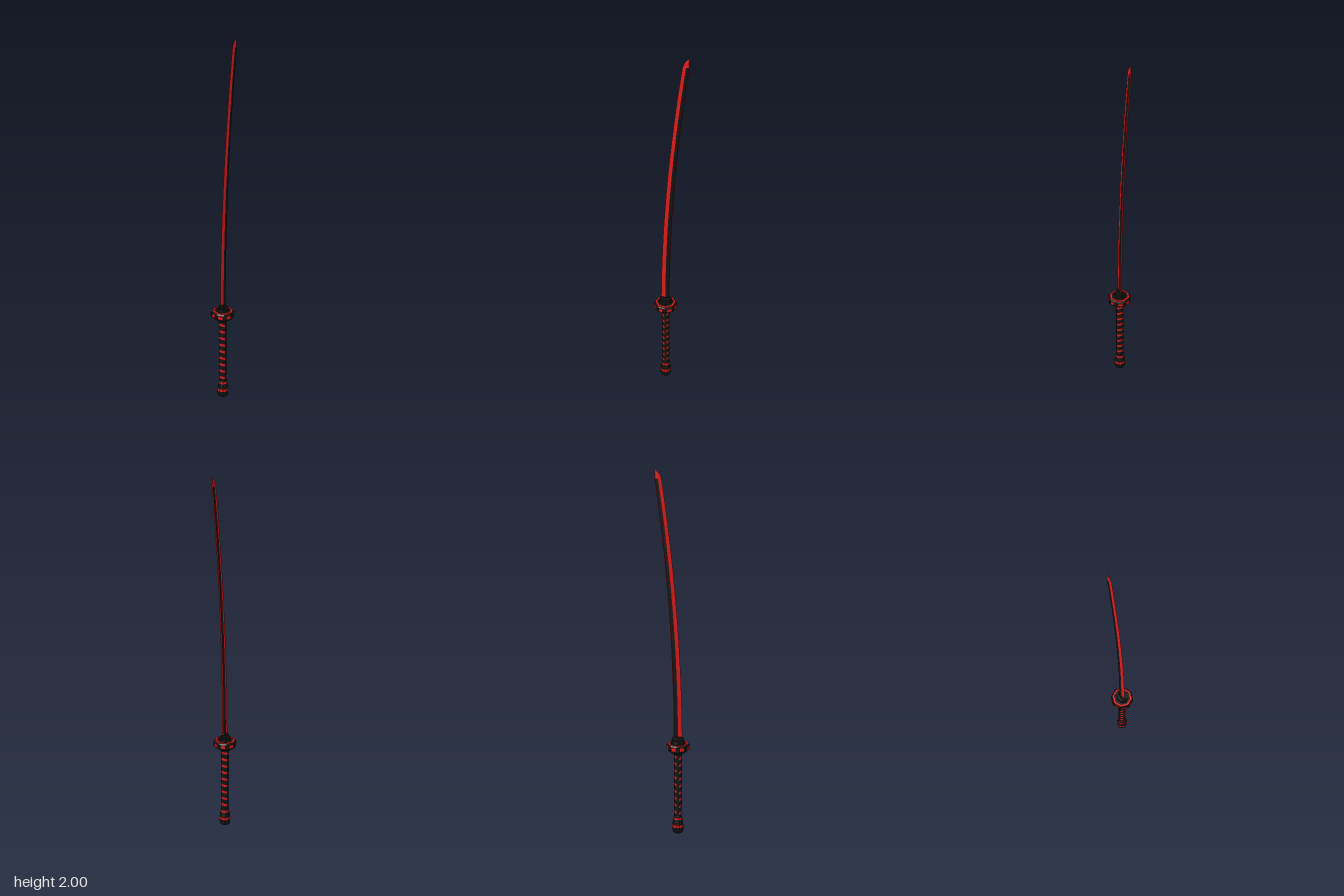
import * as THREE from 'three';

const AXIS_Z = 0.03; // hilt axis
const mat = (color) => new THREE.MeshStandardMaterial({ color, flatShading: true, side: THREE.DoubleSide });
const black = mat(0x141414);
const red = mat(0xdd1a1a);

export function createModel() {
  const root = new THREE.Group();
  const hilt = new THREE.Group();
  hilt.name = 'hilt';
  hilt.position.z = AXIS_Z;
  root.add(hilt);

  function add(parent, name, geometry, material, x = 0, y = 0, z = 0) {
    const mesh = new THREE.Mesh(geometry, material);
    mesh.name = name;
    mesh.position.set(x, y, z);
    parent.add(mesh);
    return mesh;
  }
  const lathe = (pts, sides) =>
    new THREE.LatheGeometry(pts.map(([r, y]) => new THREE.Vector2(r, y)), sides);

  // Skin a list of equal-length open cross-sections
  function loft(sections) {
    const n = sections[0].length;
    const index = [];
    for (let i = 0; i < sections.length - 1; i++) {
      for (let j = 0; j < n - 1; j++) {
        const a = i * n + j, b = a + n;
        index.push(a, a + 1, b, a + 1, b + 1, b);
      }
    }
    const geo = new THREE.BufferGeometry();
    geo.setAttribute('position', new THREE.Float32BufferAttribute(sections.flat(2), 3));
    geo.setIndex(index);
    geo.computeVertexNormals();
    return geo;
  }

  // Blade: curved centre line, red cutting bevel at +z, black flats, thin red spine
  const blade = new THREE.Group();
  blade.name = 'blade';
  root.add(blade);
  const edge = [], flatL = [], flatR = [], spine = [];
  const STEPS = 24, Y0 = 0.53, Y1 = 1.95;
  for (let i = 0; i <= STEPS; i++) {
    const t = i / STEPS;
    const y = Y0 + (Y1 - Y0) * t;
    const front = 0.054 - 0.012 * t - 0.098 * t * t;
    const width = 0.047 - 0.011 * t;
    const back = front - width;
    const ridge = front - width * 0.5;
    const h = 0.0055 - 0.0015 * t;
    edge.push([[-h, y, ridge], [0, y, front], [h, y, ridge]]);
    flatR.push([[h, y, ridge], [h * 0.9, y, back + 0.003]]);
    flatL.push([[-h * 0.9, y, back + 0.003], [-h, y, ridge]]);
    spine.push([[h * 0.9, y, back + 0.003], [0, y, back], [-h * 0.9, y, back + 0.003]]);
  }
  add(blade, 'cuttingEdge', loft(edge), red);
  add(blade, 'bladeFlatRight', loft(flatR), black);
  add(blade, 'bladeFlatLeft', loft(flatL), black);
  add(blade, 'bladeSpine', loft(spine), red);

  // Slanted point
  const tipSection = (y, front, back, h) => {
    const mid = (front + back) / 2;
    return [[0, y, front], [h, y, mid], [h * 0.9, y, back + 0.002], [0, y, back],
      [-h * 0.9, y, back + 0.002], [-h, y, mid], [0, y, front]];
  };
  add(blade, 'bladeTip', loft([
    tipSection(1.95, -0.056, -0.092 + 0.0, 0.004),
    tipSection(1.975, -0.066, -0.091, 0.003),
    tipSection(2.0, -0.0915, -0.092, 0.0003),
  ]), red);

  // Collar stepping up from the guard to the blade
  add(hilt, 'collarBase', new THREE.CylinderGeometry(0.028, 0.03, 0.022, 8), black, 0, 0.524, 0)
    .scale.z = 1.25;
  add(hilt, 'collarTop', new THREE.CylinderGeometry(0.03, 0.033, 0.03, 8), black, 0, 0.54, 0)
    .scale.x = 0.35;

  // Octagonal guard with corners on the axes
  add(hilt, 'guard', lathe([
    [0, 0.468], [0.042, 0.468], [0.06, 0.482], [0.063, 0.488],
    [0.063, 0.51], [0.058, 0.517], [0, 0.517],
  ], 8), black);
  add(hilt, 'guardRing', lathe([
    [0.047, 0.515], [0.047, 0.52], [0.057, 0.52], [0.057, 0.515],
  ], 8), red);
  for (let i = 0; i < 8; i++) {
    const a = (i + 0.5) * Math.PI / 4;
    add(hilt, 'guardStud', new THREE.BoxGeometry(0.024, 0.018, 0.014), red,
      Math.sin(a) * 0.0545, 0.499, Math.cos(a) * 0.0545).rotation.y = a;
    // Black corner caps between the studs
    const c = i * Math.PI / 4;
    add(hilt, 'guardCorner', new THREE.BoxGeometry(0.014, 0.024, 0.012), black,
      Math.sin(c) * 0.057, 0.499, Math.cos(c) * 0.057).rotation.y = c;
  }

  // Grip core and wrapping
  add(hilt, 'grip', new THREE.CylinderGeometry(0.019, 0.019, 0.4, 12), black, 0, 0.275, 0);
  add(hilt, 'gripFerrule', new THREE.CylinderGeometry(0.024, 0.022, 0.025, 12), black, 0, 0.462, 0);

  // Half-round band whose ends dip towards the sides
  function wrapBand(height, radius, spread, dip) {
    const geo = new THREE.CylinderGeometry(radius, radius, height, 8, 1, true, -spread, spread * 2);
    const p = geo.attributes.position;
    for (let i = 0; i < p.count; i++) {
      p.setY(i, p.getY(i) - dip * (p.getX(i) / radius) ** 2);
    }
    geo.computeVertexNormals();
    return geo;
  }
  const WRAPS = 9, PITCH = 0.04;
  for (let i = 0; i < WRAPS; i++) {
    for (const side of [0, 1]) {
      const y = 0.118 + PITCH * i + side * 0.008;
      add(hilt, 'redWrap', wrapBand(0.013, 0.0202, 1.25, 0.006), red, 0, y, 0).rotation.y = side * Math.PI;
      add(hilt, 'blackWrap', wrapBand(0.02, 0.0215, 1.5, 0.006), black, 0, y + PITCH / 2, 0)
        .rotation.y = side * Math.PI;
    }
  }

  // Flared pommel with red bands
  add(hilt, 'pommel', lathe([
    [0, 0], [0.026, 0], [0.031, 0.012], [0.03, 0.05], [0.024, 0.085], [0.021, 0.1], [0, 0.1],
  ], 10), black);
  add(hilt, 'pommelLowerBand', lathe([
    [0.029, 0.032], [0.032, 0.033], [0.0315, 0.047], [0.028, 0.048],
  ], 10), red);
  add(hilt, 'pommelUpperBand', lathe([
    [0.023, 0.077], [0.0265, 0.078], [0.0248, 0.088], [0.021, 0.089],
  ], 10), red);

  return root;
}
